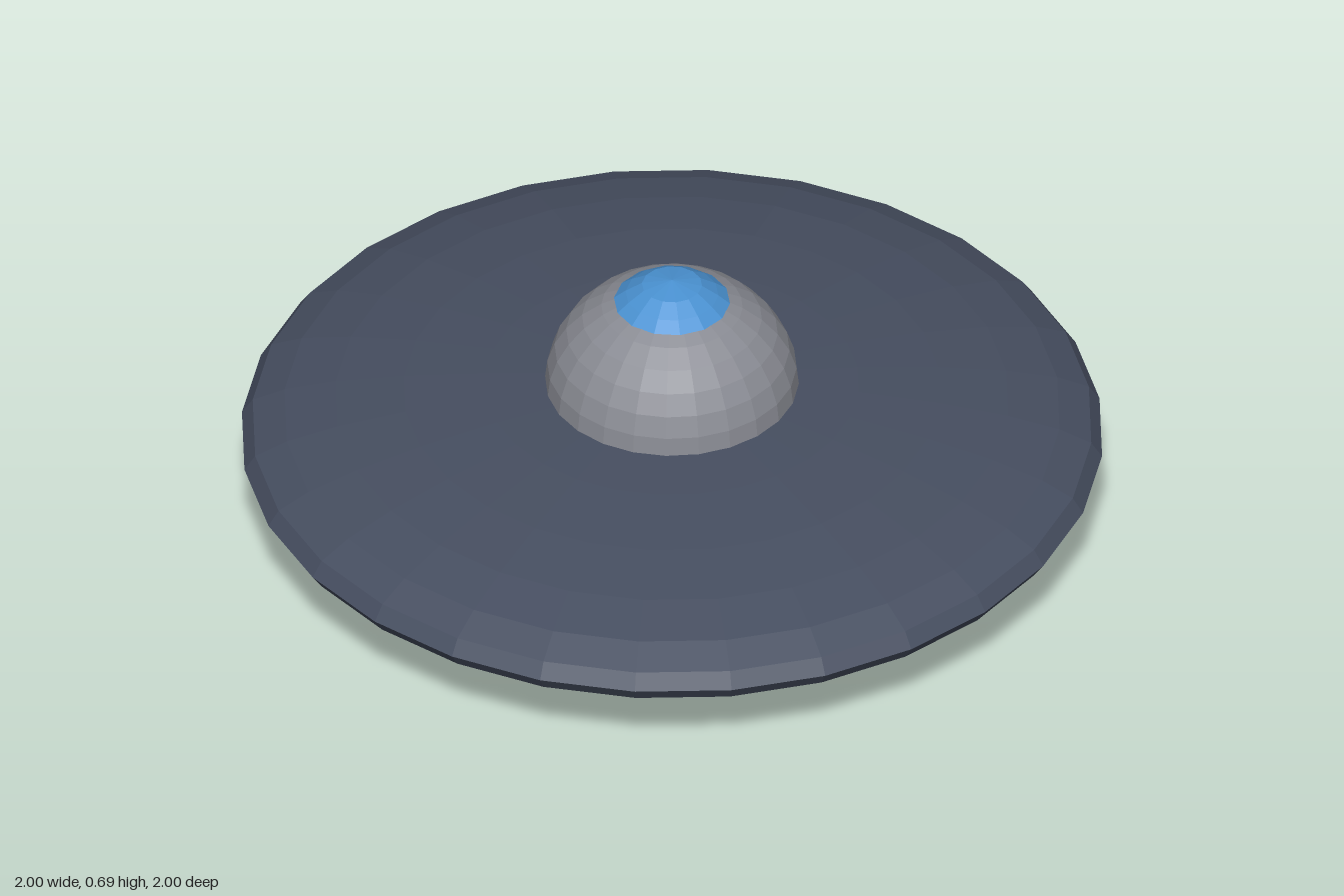
import * as THREE from 'three';

const mat = (color) => new THREE.MeshStandardMaterial({ color, flatShading: true });

function add(parent, name, geometry, material, x = 0, y = 0, z = 0) {
  const mesh = new THREE.Mesh(geometry, material);
  mesh.name = name;
  mesh.position.set(x, y, z);
  parent.add(mesh);
  return mesh;
}

const lathe = (points, sides) =>
  new THREE.LatheGeometry(points.map(([r, y]) => new THREE.Vector2(r, y)), sides);

export function createModel() {
  const model = new THREE.Group();
  model.name = 'flyingSaucer';
  const hullMat = mat(0x464e60);
  const domeMat = mat(0x8a8c94);
  const glassMat = mat(0x4a92d2);
  const blackMat = mat(0x121212);
  const redMat = mat(0xc4281c);
  const blueMat = mat(0x2090d0);

  // Saucer hull: a flattened sphere
  const hull = new THREE.SphereGeometry(1, 28, 14);
  hull.scale(1, 0.165, 1);
  add(model, 'hull', hull, hullMat, 0, 0.24, 0);

  // Cabin dome, with a collar where it meets the hull
  const dome = new THREE.SphereGeometry(0.295, 24, 8, 0, Math.PI * 2, 0, Math.PI / 2);
  dome.scale(1, 0.9, 1);
  add(model, 'dome', dome, domeMat, 0, 0.39, 0);
  add(model, 'domeCollar', new THREE.CylinderGeometry(0.298, 0.298, 0.03, 24), hullMat, 0, 0.38, 0);

  // Glass cap on the dome
  add(model, 'glassCap',
    lathe([[0.125, 0.62], [0.135, 0.626], [0.108, 0.648], [0.07, 0.673], [0, 0.686]], 14), glassMat);

  // Flared landing base under the hull
  add(model, 'landingBase', new THREE.CylinderGeometry(0.2, 0.298, 0.1, 28), blackMat, 0, 0.05, 0);

  // Four radial landing pods
  for (let i = 0; i < 4; i++) {
    const a = -Math.PI / 8 + (i * Math.PI) / 2;
    const pod = add(model, 'landingPod', new THREE.BoxGeometry(0.225, 0.07, 0.1), blackMat,
      0.535 * Math.cos(a), 0.09, 0.535 * Math.sin(a));
    pod.rotation.y = -a;
  }

  // Ring of alternating red and blue lights
  const bulb = new THREE.SphereGeometry(0.025, 6, 5);
  const lights = new THREE.Group();
  lights.name = 'lightRing';
  for (let i = 0; i < 16; i++) {
    const a = (i * Math.PI) / 8;
    add(lights, i % 2 ? 'blueLight' : 'redLight', bulb, i % 2 ? blueMat : redMat,
      0.735 * Math.cos(a), 0.117, 0.735 * Math.sin(a));
  }
  model.add(lights);

  return model;
}
